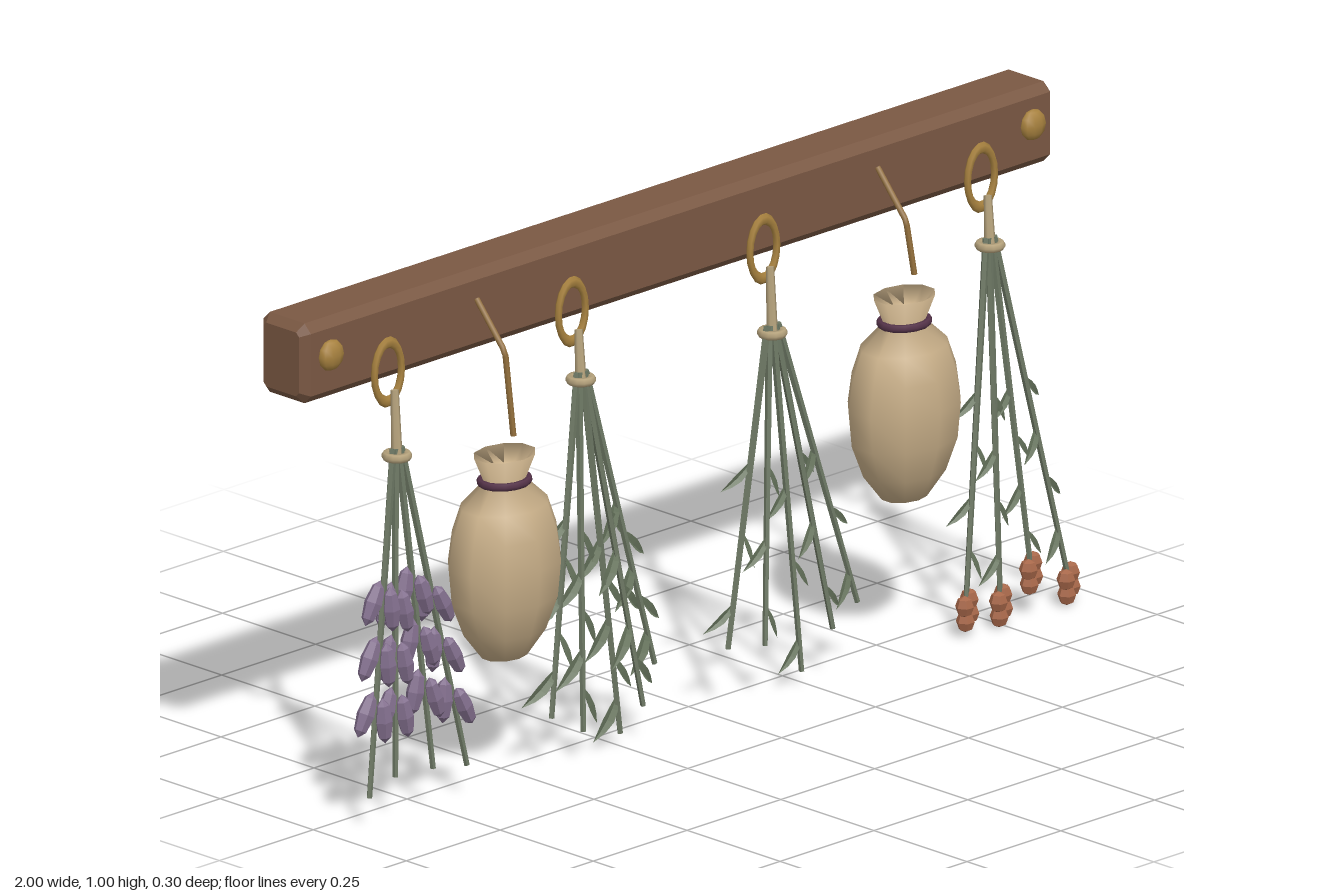
import * as THREE from 'three';

const mat = (name, color, extra = {}) => {
  const m = new THREE.MeshStandardMaterial({ color, ...extra });
  m.name = name;
  return m;
};
const V = (x, y, z) => new THREE.Vector3(x, y, z);
const UP = V(0, 1, 0);

export function createModel() {
  const root = new THREE.Group();
  root.name = 'herbDryingRack';
  const wood = mat('wood', 0x7a5843, { flatShading: true });
  const brass = mat('brass', 0xa8823f);
  const bronze = mat('bronze', 0x94703c);
  const twine = mat('twine', 0xb5a27c);
  const cloth = mat('cloth', 0xc6ad87, { side: THREE.DoubleSide });
  const ribbon = mat('ribbon', 0x553349);
  const stemGreen = mat('stemGreen', 0x6d7864, { flatShading: true });
  const leafGreen = mat('leafGreen', 0x6a7860, { side: THREE.DoubleSide, flatShading: true });
  const lavender = mat('lavender', 0x84708f, { flatShading: true });
  const berryRed = mat('berryRed', 0xa8684a, { flatShading: true });

  const add = (parent, name, geo, material, pos = V(0, 0, 0)) => {
    const m = new THREE.Mesh(geo, material);
    m.name = name;
    m.position.copy(pos);
    parent.add(m);
    return m;
  };
  // tapered rod between two points
  const rod = (parent, name, a, b, ra, rb, material, sides = 5) => {
    const d = b.clone().sub(a);
    const m = add(parent, name, new THREE.CylinderGeometry(rb, ra, d.length(), sides), material,
      a.clone().add(b).multiplyScalar(0.5));
    m.quaternion.setFromUnitVectors(UP, d.normalize());
    return m;
  };

  // chamfered beam: octagonal section with bevelled ends
  const c = 0.016, hz = 0.064 - c, hy = 0.08 - c;
  const section = new THREE.Shape([
    [-hz, -hy + c / 2], [-hz + c / 2, -hy], [hz - c / 2, -hy], [hz, -hy + c / 2],
    [hz, hy - c / 2], [hz - c / 2, hy], [-hz + c / 2, hy], [-hz, hy - c / 2],
  ].map(([x, y]) => new THREE.Vector2(x, y)));
  const beamGeo = new THREE.ExtrudeGeometry(section, {
    depth: 2 - 2 * c, bevelEnabled: true, bevelSegments: 1, bevelSize: c, bevelThickness: c,
  });
  beamGeo.translate(0, 0, -1 + c).rotateY(Math.PI / 2);
  add(root, 'beam', beamGeo, wood, V(0, 0.92, -0.086));

  // bolt heads
  for (const s of [-1, 1]) {
    add(root, 'boltHead', new THREE.SphereGeometry(0.031, 10, 6), brass, V(s * 0.935, 0.93, -0.018))
      .scale.set(1, 1, 0.55);
  }

  // slender bent leaf, growing along -y and curling towards +x
  const leafGeo = (len, w) => {
    const g = new THREE.PlaneGeometry(1, 1, 2, 4);
    const p = g.attributes.position;
    for (let i = 0; i < p.count; i++) {
      const t = 0.5 - p.getY(i), u = p.getX(i) * 2;
      const half = w * Math.sin(Math.PI * Math.min(1, 0.08 + 0.92 * t)) * 0.5;
      p.setXYZ(i, u * half + len * 0.22 * t * t, -len * t, Math.abs(u) * half * 0.6);
    }
    g.computeVertexNormals();
    return g;
  };
  const budGeo = new THREE.SphereGeometry(1, 6, 4).scale(0.019, 0.046, 0.017);
  const berryGeo = new THREE.SphereGeometry(0.0185, 6, 4);

  // tips: [x offset, y, z]
  const bundles = [
    { name: 'lavenderBundle', x: -0.79, tieY: 0.703, buds: true,
      tips: [[-0.13, 0.06, 0.07], [-0.05, 0.08, 0.06], [0.035, 0.08, 0.075], [0.135, 0.06, 0.065]] },
    { name: 'leafyBundle', x: -0.30, tieY: 0.735, leaves: 5, len: 0.095, w: 0.024,
      tips: [[-0.135, 0.1, 0.07], [-0.065, 0.06, 0.085], [0.048, 0.025, 0.07],
        [0.1, 0.07, 0.08], [0.145, 0.14, 0.065]] },
    { name: 'sparseBundle', x: 0.21, tieY: 0.703, leaves: 3, len: 0.08, w: 0.018,
      tips: [[-0.17, 0.12, 0.065], [-0.085, 0.11, 0.08], [0.022, 0.03, 0.07],
        [0.095, 0.1, 0.08], [0.175, 0.13, 0.065]] },
    { name: 'berryBundle', x: 0.79, tieY: 0.735, leaves: 4, len: 0.075, w: 0.018, berries: true,
      tips: [[-0.13, 0.07, 0.08], [-0.045, 0.06, 0.085], [0.045, 0.1, 0.075], [0.135, 0.06, 0.085]] },
  ];

  for (const b of bundles) {
    const g = new THREE.Group();
    g.name = b.name;
    root.add(g);
    const tie = V(b.x - 0.005, b.tieY, 0.018);

    // hanging ring, loop and tie
    add(g, 'ring', new THREE.TorusGeometry(0.036, 0.007, 6, 18), brass, V(b.x, 0.862, -0.011))
      .scale.set(1, 1.65, 1);
    rod(g, 'hangingLoop', V(b.x + 0.005, 0.828, 0.002), tie, 0.008, 0.011, twine, 6);
    const knot = add(g, 'tie', new THREE.TorusGeometry(0.021, 0.009, 6, 12), twine, tie);
    knot.rotation.x = Math.PI / 2;

    b.tips.forEach(([dx, y, z], i) => {
      const start = V(tie.x + dx * 0.08, tie.y + 0.015, tie.z);
      const end = V(b.x + dx, y, z);
      rod(g, 'stem', start, end, 0.0075, 0.0055, stemGreen);
      const lean = Math.atan2(dx, start.y - y);

      // paired buds in three tiers
      if (b.buds) {
        for (let k = 0; k < 3; k++) {
          for (const s of [-1, 1]) {
            const p = start.clone().lerp(end, 0.45 + k * 0.16 + (i % 2) * 0.035 + s * 0.012);
            p.x += s * 0.017;
            p.z += s * 0.008;
            add(g, 'bud', budGeo, lavender, p).rotation.z = lean + s * 0.28;
          }
        }
      }
      // alternating leaves
      for (let k = 0; k < (b.leaves || 0); k++) {
        const s = (k + i) % 2 ? 1 : -1;
        const p = start.clone().lerp(end, 0.42 + (k * 0.44) / (b.leaves - 1) + (i % 3) * 0.02);
        const leaf = add(g, 'leaf', leafGeo(b.len, b.w), leafGreen, p);
        leaf.scale.x = s;
        leaf.rotation.set(-0.12 - 0.1 * (k % 2), s * 0.4, lean + s * 0.45);
      }
      // berry clusters
      if (b.berries) {
        for (const [bx, by, bz] of [[-0.014, -0.008, 0.01], [0.014, -0.03, -0.004], [-0.008, -0.04, 0.006], [0.012, -0.002, -0.004]]) {
          add(g, 'berry', berryGeo, berryRed, V(end.x + bx, end.y + by, end.z + bz)).scale.y = 1.15;
        }
      }
    });
  }

  // cloth sachets on bent hooks: outer profile, then the funnel inside the mouth
  const profile = [[0, 0], [0.05, 0.002], [0.092, 0.055], [0.118, 0.12], [0.125, 0.19], [0.116, 0.25],
    [0.096, 0.305], [0.045, 0.352], [0.068, 0.405], [0.035, 0.375], [0, 0.368]]
    .map(([r, y]) => new THREE.Vector2(r, y));
  for (const [x, y, hookEnd] of [[-0.545, 0.25, 0.69], [0.52, 0.305, 0.75]]) {
    const g = new THREE.Group();
    g.name = 'sachet';
    root.add(g);
    const z = 0.055;
    add(g, 'bag', new THREE.LatheGeometry(profile, 10), cloth, V(x, y, z)).scale.z = 0.77;
    const band = add(g, 'neckRibbon', new THREE.TorusGeometry(0.05, 0.008, 6, 14), ribbon, V(x, y + 0.352, z));
    band.rotation.x = Math.PI / 2;
    band.scale.y = 0.85;

    const hx = x < 0 ? x + 0.002 : x + 0.005;
    const path = new THREE.CurvePath();
    const pts = [V(hx, 0.945, -0.022), V(hx + 0.003, 0.855, 0.052), V(hx + 0.01, hookEnd, 0.067)];
    path.add(new THREE.LineCurve3(pts[0], pts[1]));
    path.add(new THREE.LineCurve3(pts[1], pts[2]));
    add(g, 'hook', new THREE.TubeGeometry(path, 16, 0.006, 6), bronze);
  }
  return root;
}
